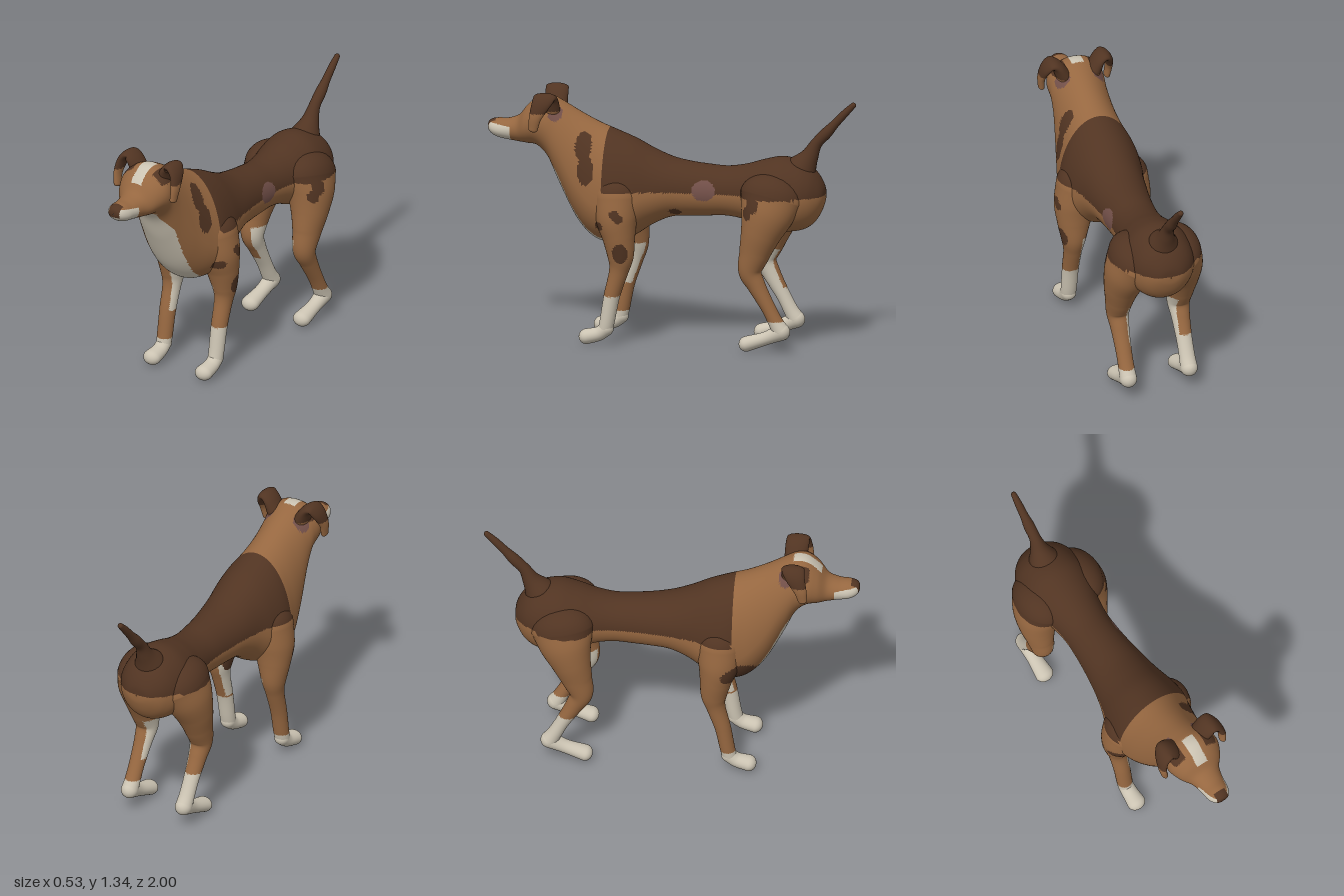
import * as THREE from 'three';

const mat = (name, color) => Object.assign(new THREE.MeshStandardMaterial({ color }), { name });
const BROWN = 0, DARK = 1, WHITE = 2, PINK = 3;

// Coat spots seen from the side: [side, z, y, radius z, radius y]
const darkSpots = [
  [1, 0.45, 1.06, 0.045, 0.075], [1, 0.43, 0.94, 0.045, 0.08], [1, 0.35, 0.65, 0.028, 0.024],
  [1, 0.255, 0.72, 0.026, 0.026], [1, 0.235, 0.7, 0.024, 0.026], [1, 0.23, 0.51, 0.04, 0.055],
  [1, -0.04, 0.725, 0.032, 0.019], [1, -0.49, 0.81, 0.035, 0.045], [1, -0.46, 0.76, 0.025, 0.035],
  [-1, 0.37, 0.65, 0.09, 0.055],
];
const pinkSpots = [[1, -0.2, 0.85, 0.062, 0.055], [1, 0.61, 1.22, 0.035, 0.035], [-1, 0.61, 1.22, 0.035, 0.035]];
const inSpot = (list, p) => list.some(([s, z, y, rz, ry]) =>
  p.x * s > 0.03 && ((p.z - z) / rz) ** 2 + ((p.y - y) / ry) ** 2 < 1);

// Coat colour by position
function coat(p) {
  const ax = Math.abs(p.x);
  if (inSpot(pinkSpots, p)) return PINK;
  if (inSpot(darkSpots, p)) return DARK;
  if (p.y > 0.835 && p.z < 0.335) return DARK;
  return ax < 0.14 && p.y > 0.28 && p.y < 0.5 ? WHITE : BROWN;
}

function bodyCoat(p) {
  const ax = Math.abs(p.x);
  if (p.z > 0.955 && p.y > 1.1 && ax < 0.034) return DARK; // nose
  if (p.z > 0.87 && p.y < 1.13 + (p.z - 0.87) * 0.15) return WHITE; // lips
  if (p.z > 0.65 && p.z < 0.8 && p.y > 1.22 && ax < 0.033) return WHITE; // blaze
  if (p.z > 0.63 && p.z < 0.74 && p.y > 1.225 && ax > 0.066) return DARK; // ear roots
  const chestLine = 0.66 + Math.max(0, p.z - 0.38) * 1.15;
  if (p.z > 0.35 && p.z < 0.78 && p.y < Math.min(1.03, chestLine) && ax < 0.115) return WHITE; // bib
  return coat(p);
}

// Joins rings of points into a smooth skin, with one geometry group per colour
function skin(name, rings, paint, materials) {
  const n = rings[0].length, pts = rings.flat(), buckets = materials.map(() => []);
  const centre = new THREE.Vector3();
  const tri = (a, b, c) => {
    centre.copy(pts[a]).add(pts[b]).add(pts[c]).divideScalar(3);
    buckets[paint(centre)].push(a, b, c);
  };
  for (let i = 0; i < rings.length - 1; i++) {
    for (let j = 0; j < n; j++) {
      const a = i * n + j, b = i * n + (j + 1) % n;
      tri(a, b, a + n);
      tri(b, b + n, a + n);
    }
  }
  const geo = new THREE.BufferGeometry().setFromPoints(pts);
  geo.setIndex(buckets.flat());
  let start = 0;
  buckets.forEach((list, m) => {
    if (list.length) geo.addGroup(start, list.length, m);
    start += list.length;
  });
  geo.computeVertexNormals();
  const mesh = new THREE.Mesh(geo, materials);
  mesh.name = name;
  return mesh;
}

const spline = (list) => new THREE.CatmullRomCurve3(list.map((q) => new THREE.Vector3(...q)), false, 'catmullrom', 0.5);

// Round-ended limb; stations are [x, y, z, radius along ref, radius across]
function limb(stations, ref, steps, sides) {
  const path = spline(stations.map((s) => s.slice(0, 3)));
  const size = spline(stations.map((s) => [s[3], s[4] ?? s[3], 0]));
  const rings = [];
  const ring = (t, shift, scale) => {
    const tan = path.getTangent(t), r = size.getPoint(t);
    const u = ref.clone().addScaledVector(tan, -ref.dot(tan)).normalize();
    const v = tan.clone().cross(u);
    const c = path.getPoint(t).addScaledVector(tan, shift * Math.min(r.x, r.y));
    rings.push(Array.from({ length: sides }, (_, j) => {
      const a = (j / sides) * Math.PI * 2;
      return c.clone().addScaledVector(u, Math.cos(a) * r.x * scale).addScaledVector(v, Math.sin(a) * r.y * scale);
    }));
  };
  const K = 8, cap = (k) => (k / K) * Math.PI / 2;
  for (let k = K; k > 0; k--) ring(0, -Math.sin(cap(k)), Math.cos(cap(k)) + 0.001);
  for (let i = 0; i <= steps; i++) ring(i / steps, 0, 1);
  for (let k = 1; k <= K; k++) ring(1, Math.sin(cap(k)), Math.cos(cap(k)) + 0.001);
  return rings;
}

// Torso, neck, head and muzzle: [z, top, bottom, half width, height of widest point]
const bodySections = [
  [-0.832, 0.832, 0.828, 0.002, 0.83], [-0.825, 0.88, 0.78, 0.06, 0.83], [-0.8, 0.93, 0.72, 0.105, 0.83],
  [-0.76, 0.975, 0.67, 0.145, 0.83], [-0.7, 1.01, 0.64, 0.175, 0.82], [-0.6, 1.03, 0.63, 0.19, 0.82],
  [-0.5, 1.01, 0.65, 0.175, 0.82], [-0.4, 0.98, 0.685, 0.145, 0.83], [-0.3, 0.965, 0.7, 0.132, 0.83],
  [-0.2, 0.97, 0.695, 0.135, 0.83], [-0.1, 0.98, 0.69, 0.145, 0.83], [0, 1.0, 0.68, 0.16, 0.83],
  [0.1, 1.04, 0.635, 0.18, 0.81], [0.2, 1.09, 0.57, 0.21, 0.77], [0.3, 1.13, 0.535, 0.225, 0.75],
  [0.4, 1.17, 0.545, 0.205, 0.77], [0.5, 1.22, 0.64, 0.178, 0.88], [0.6, 1.275, 0.83, 0.155, 1.05],
  [0.66, 1.3, 0.965, 0.152, 1.14], [0.72, 1.295, 1.03, 0.152, 1.16], [0.78, 1.25, 1.04, 0.125, 1.14],
  [0.83, 1.19, 1.045, 0.086, 1.115], [0.89, 1.167, 1.053, 0.07, 1.11], [0.94, 1.165, 1.062, 0.064, 1.11],
  [0.975, 1.16, 1.078, 0.051, 1.115], [0.995, 1.145, 1.1, 0.03, 1.12], [1.0, 1.123, 1.119, 0.002, 1.121],
];

function bodyRings(steps, sides) {
  const outline = spline(bodySections.map(([z, top, bottom]) => [z, top, bottom]));
  const girth = spline(bodySections.map((s) => [s[3], s[4], 0]));
  return Array.from({ length: steps + 1 }, (_, i) => {
    const o = outline.getPoint(i / steps), g = girth.getPoint(i / steps);
    return Array.from({ length: sides }, (_, j) => {
      const a = (j / sides) * Math.PI * 2, s = Math.sin(a);
      return new THREE.Vector3(Math.cos(a) * g.x, g.y + s * (s > 0 ? o.y - g.y : g.y - o.z), o.x);
    });
  });
}

const frontLeg = [
  [0.14, 0.8, 0.27, 0.11, 0.12], [0.155, 0.68, 0.265, 0.11, 0.11], [0.165, 0.58, 0.25, 0.09, 0.086],
  [0.17, 0.48, 0.24, 0.066, 0.069], [0.17, 0.4, 0.251, 0.05, 0.051], [0.17, 0.27, 0.287, 0.045, 0.043],
  [0.17, 0.14, 0.311, 0.043, 0.04], [0.17, 0.09, 0.322, 0.041, 0.039],
];
const frontFoot = [[0.17, 0.09, 0.318, 0.041, 0.039], [0.17, 0.06, 0.36, 0.043, 0.038], [0.17, 0.043, 0.425, 0.05, 0.041]];
const hindLeg = [
  [0.125, 0.83, -0.57, 0.125, 0.17], [0.15, 0.74, -0.55, 0.118, 0.142], [0.165, 0.64, -0.52, 0.098, 0.108],
  [0.17, 0.54, -0.49, 0.076, 0.084], [0.17, 0.44, -0.465, 0.062, 0.063], [0.17, 0.36, -0.5, 0.05, 0.048],
  [0.17, 0.25, -0.561, 0.043, 0.038], [0.17, 0.17, -0.603, 0.043, 0.039], [0.17, 0.12, -0.632, 0.046, 0.046],
];
const hindFoot = [[0.17, 0.118, -0.635, 0.046, 0.046], [0.17, 0.08, -0.55, 0.04, 0.036], [0.17, 0.045, -0.445, 0.05, 0.041]];
const ear = [
  [0.085, 1.24, 0.65, 0.06, 0.04], [0.115, 1.295, 0.655, 0.062, 0.03], [0.145, 1.313, 0.66, 0.06, 0.025],
  [0.174, 1.28, 0.675, 0.05, 0.022], [0.188, 1.215, 0.7, 0.034, 0.019], [0.184, 1.15, 0.713, 0.025, 0.017],
];
const tail = [
  [0, 0.98, -0.71, 0.08], [0, 1.04, -0.748, 0.048], [0, 1.11, -0.785, 0.031], [0, 1.17, -0.84, 0.03],
  [0, 1.22, -0.885, 0.023], [0, 1.28, -0.94, 0.02], [0, 1.325, -0.985, 0.015],
];

export function createModel() {
  const materials = [mat('brown coat', 0x966740), mat('dark coat', 0x513422), mat('white coat', 0xcbc3b2), mat('pink skin', 0x735049)];
  const X = new THREE.Vector3(1, 0, 0), Z = new THREE.Vector3(0, 0, 1);
  const dog = new THREE.Group();
  dog.name = 'dog';

  dog.add(skin('body', bodyRings(208, 112), bodyCoat, materials));
  dog.add(skin('tail', limb(tail, X, 40, 24), () => DARK, materials));

  for (const side of [1, -1]) {
    const label = side > 0 ? 'left' : 'right';
    const place = (list) => list.map(([x, ...rest]) => [x * side, ...rest]);
    // Stockings reach a different height on each leg
    const addLeg = (name, leg, foot, sock) => {
      const paint = (p) => (p.y < sock ? WHITE : coat(p));
      const group = new THREE.Group();
      group.name = label + name;
      group.add(skin('leg', limb(place(leg), X, 100, 48), paint, materials));
      group.add(skin('foot', limb(place(foot), X, 24, 32), paint, materials));
      dog.add(group);
    };
    addLeg('FrontLeg', frontLeg, frontFoot, side > 0 ? 0.27 : 0.125);
    addLeg('HindLeg', hindLeg, hindFoot, side > 0 ? 0.175 : 0.29);
    dog.add(skin(label + 'Ear', limb(place(ear), Z, 48, 32), (p) => (p.y < 1.235 ? BROWN : DARK), materials));
  }
  return dog;
}
